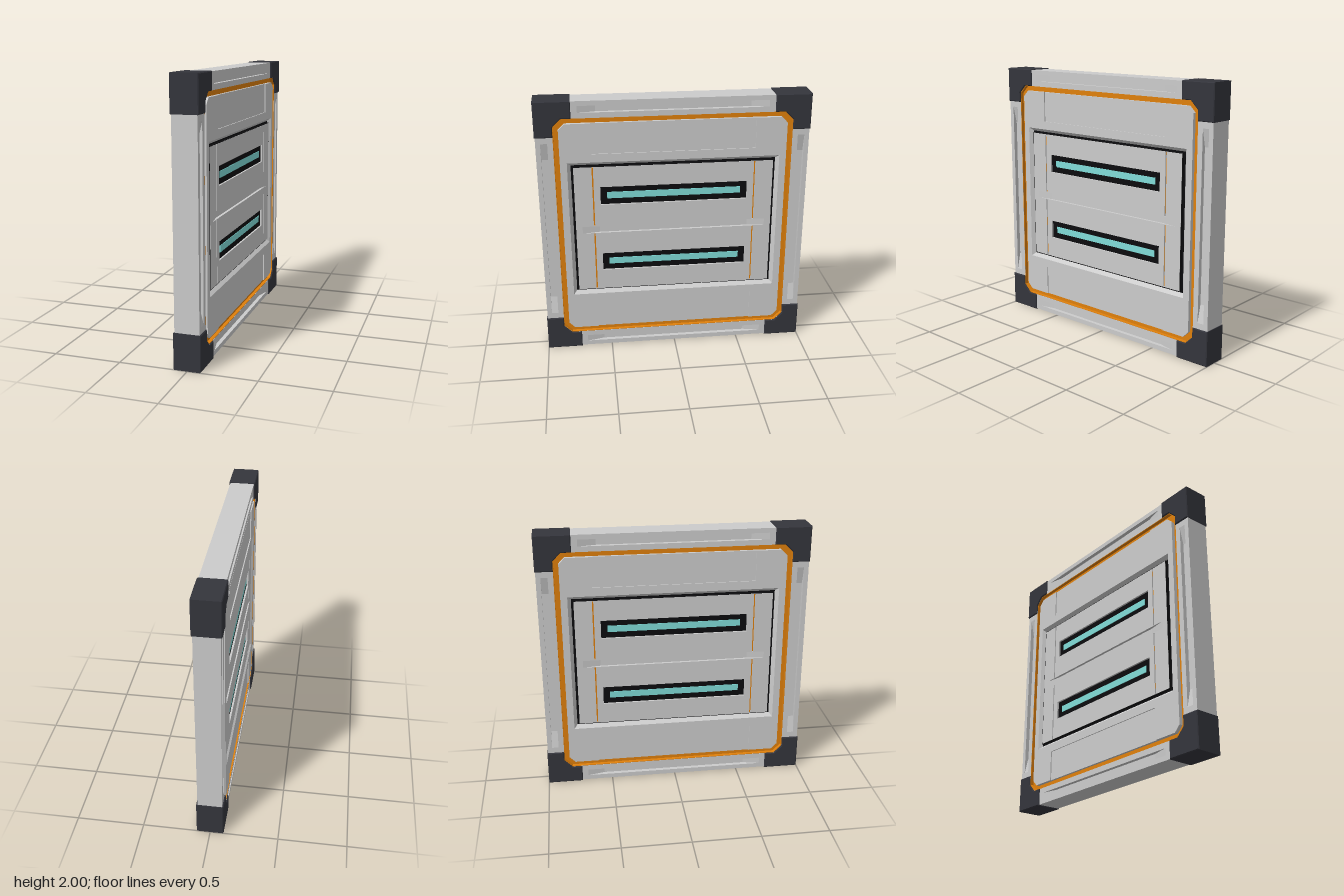
import * as THREE from 'three';

const mat = (color, side = THREE.FrontSide) => new THREE.MeshStandardMaterial({ color, side });

// Closed outlines, drawn around the panel centre
const rect = (w, h, x = 0, y = 0) => [[x - w, y - h], [x + w, y - h], [x + w, y + h], [x - w, y + h]];
const octagon = (r, c) => [
  [-r + c, -r], [r - c, -r], [r, -r + c], [r, r - c],
  [r - c, r], [-r + c, r], [-r, r - c], [-r, -r + c],
];
const toVec = (pts) => pts.map(([x, y]) => new THREE.Vector2(x, y));

// Plate with holes, spanning depth z0 to z1
function plate(outline, holes, z0, z1) {
  const shape = new THREE.Shape(toVec(outline));
  holes.forEach((h) => shape.holes.push(new THREE.Path(toVec(h))));
  return new THREE.ExtrudeGeometry(shape, { depth: z1 - z0, bevelEnabled: false }).translate(0, 0, z0);
}

// Sloped wall joining two rectangles at different depths
function slopedWall(outer, zOuter, inner, zInner) {
  const pos = [];
  for (let i = 0; i < 4; i++) {
    const j = (i + 1) % 4;
    const a = [...outer[i], zOuter], b = [...outer[j], zOuter];
    const c = [...inner[j], zInner], d = [...inner[i], zInner];
    pos.push(...a, ...b, ...c, ...a, ...c, ...d);
  }
  const g = new THREE.BufferGeometry();
  g.setAttribute('position', new THREE.Float32BufferAttribute(pos, 3));
  g.computeVertexNormals();
  return g;
}

export function createModel() {
  const grey = mat(0xcccccc), greyThin = mat(0xcccccc, THREE.DoubleSide);
  const orange = mat(0xe0800c), black = mat(0x0c0c0e), dark = mat(0x34353c), cyan = mat(0x80dcd8);

  const model = new THREE.Group();
  model.name = 'wallPanel';
  const add = (parent, name, geometry, material) => {
    const m = new THREE.Mesh(geometry, material);
    m.name = name;
    parent.add(m);
    return m;
  };

  const FLOOR = 0.06, TOP = 0.09, INNER = 0.08;
  const SLOT = 0.69, RAMP = 0.13;

  // Ramps that bring both ends of a slot floor up to the surface
  function slotRamps(parent, name, halfWidth, depth, x, y, turned) {
    const g = new THREE.Group();
    g.name = name;
    for (const s of [-1, 1]) {
      const wedge = plate([[s * SLOT, 0], [s * SLOT, depth], [s * (SLOT - RAMP), 0]], [], -halfWidth, halfWidth);
      add(g, 'slotRamp', wedge.rotateX(Math.PI / 2), grey);
    }
    g.position.set(x, y, FLOOR);
    if (turned) g.rotation.z = Math.PI / 2;
    parent.add(g);
  }

  function face() {
    const g = new THREE.Group();
    g.name = 'panelFace';

    // Outer frame with a slot in each beam
    const c = 0.935, hw = 0.025;
    const beamSlots = [rect(SLOT, hw, 0, c), rect(SLOT, hw, 0, -c), rect(hw, SLOT, c, 0), rect(hw, SLOT, -c, 0)];
    add(g, 'frame', plate(rect(0.995, 0.995), [octagon(0.87, 0.06), ...beamSlots], FLOOR, TOP), grey);
    for (const s of [-1, 1]) {
      slotRamps(g, 'horizontalBeamSlot', hw, TOP - FLOOR, 0, s * c, false);
      slotRamps(g, 'verticalBeamSlot', hw, TOP - FLOOR, s * c, 0, true);
    }

    // Orange groove around the panel
    add(g, 'grooveFloor', plate(octagon(0.869, 0.06), [octagon(0.828, 0.045)], FLOOR, FLOOR + 0.003), orange);
    add(g, 'grooveWall', plate(octagon(0.87, 0.06), [octagon(0.866, 0.059)], FLOOR, TOP - 0.001), orange);

    // Main panel: lower layer, then a top layer notched above and below
    const opening = rect(0.78, 0.537);
    add(g, 'mainPanel', plate(octagon(0.83, 0.045), [opening], FLOOR, TOP - 0.008), grey);
    const r = 0.83, k = 0.785, n = 0.6;
    const notched = [
      [-k, -r], [-n, -r], [-n, -n], [n, -n], [n, -r], [k, -r], [r, -k], [r, k],
      [k, r], [n, r], [n, n], [-n, n], [-n, r], [-k, r], [-r, k], [-r, -k],
    ];
    add(g, 'mainPanelTop', plate(notched, [opening], TOP - 0.008, TOP), grey);

    // Sloped recess with a black gap
    add(g, 'recessSlope', slopedWall(opening, TOP, rect(0.755, 0.512), FLOOR), greyThin);
    add(g, 'recessGap', plate(rect(0.755, 0.512), [rect(0.735, 0.495)], FLOOR - 0.002, FLOOR + 0.002), black);
    add(g, 'innerPanelRim', plate(rect(0.742, 0.502), [rect(0.738, 0.498)], FLOOR, INNER - 0.001), black);

    // Inner panel with two vents, a middle slot and four fine grooves
    const vents = [-0.27, 0.27].map((y) => rect(0.547, 0.07, 0, y));
    const lines = [];
    for (const x of [-0.6, 0.6]) for (const y of [-0.263, 0.263]) lines.push(rect(0.005, 0.232, x, y));
    const innerSlot = rect(SLOT, 0.027);
    add(g, 'innerPanel', plate(rect(0.738, 0.498), [...vents, ...lines, innerSlot], FLOOR, INNER), grey);
    slotRamps(g, 'middleSlot', 0.027, INNER - FLOOR, 0, 0, false);
    lines.forEach((l) => add(g, 'orangeLine', plate(l, [], FLOOR, INNER - 0.008), orange));
    for (const y of [-0.27, 0.27]) {
      add(g, 'ventBack', plate(rect(0.547, 0.07, 0, y), [], FLOOR, FLOOR + 0.006), black);
      add(g, 'lightStrip', plate(rect(0.498, 0.025, 0, y), [], FLOOR, FLOOR + 0.01), cyan);
    }
    return g;
  }

  // Solid core
  add(model, 'core', new THREE.BoxGeometry(2 * FLOOR, 1.99, 1.99), grey);

  // Same face on both sides
  for (const s of [-1, 1]) {
    const f = face();
    f.rotation.y = (s * Math.PI) / 2;
    model.add(f);
  }

  // Corner blocks, cut to follow the groove
  const corner = new THREE.Shape(toVec([
    [0.735, 1], [0.735, 0.87], [0.81, 0.87], [0.87, 0.81], [0.87, 0.735], [1, 0.735], [1, 1],
  ]));
  const b = 0.006;
  const cornerGeo = new THREE.ExtrudeGeometry(corner, {
    depth: 0.2 - 2 * b, bevelThickness: b, bevelSize: b, bevelOffset: -b, bevelSegments: 1,
  }).translate(0, 0, -0.1 + b).rotateY(Math.PI / 2);
  for (let i = 0; i < 4; i++) add(model, 'cornerBlock', cornerGeo, dark).rotation.x = (i * Math.PI) / 2;

  model.position.y = 1;
  const root = new THREE.Group();
  root.name = 'panelModel';
  root.add(model);
  return root;
}
